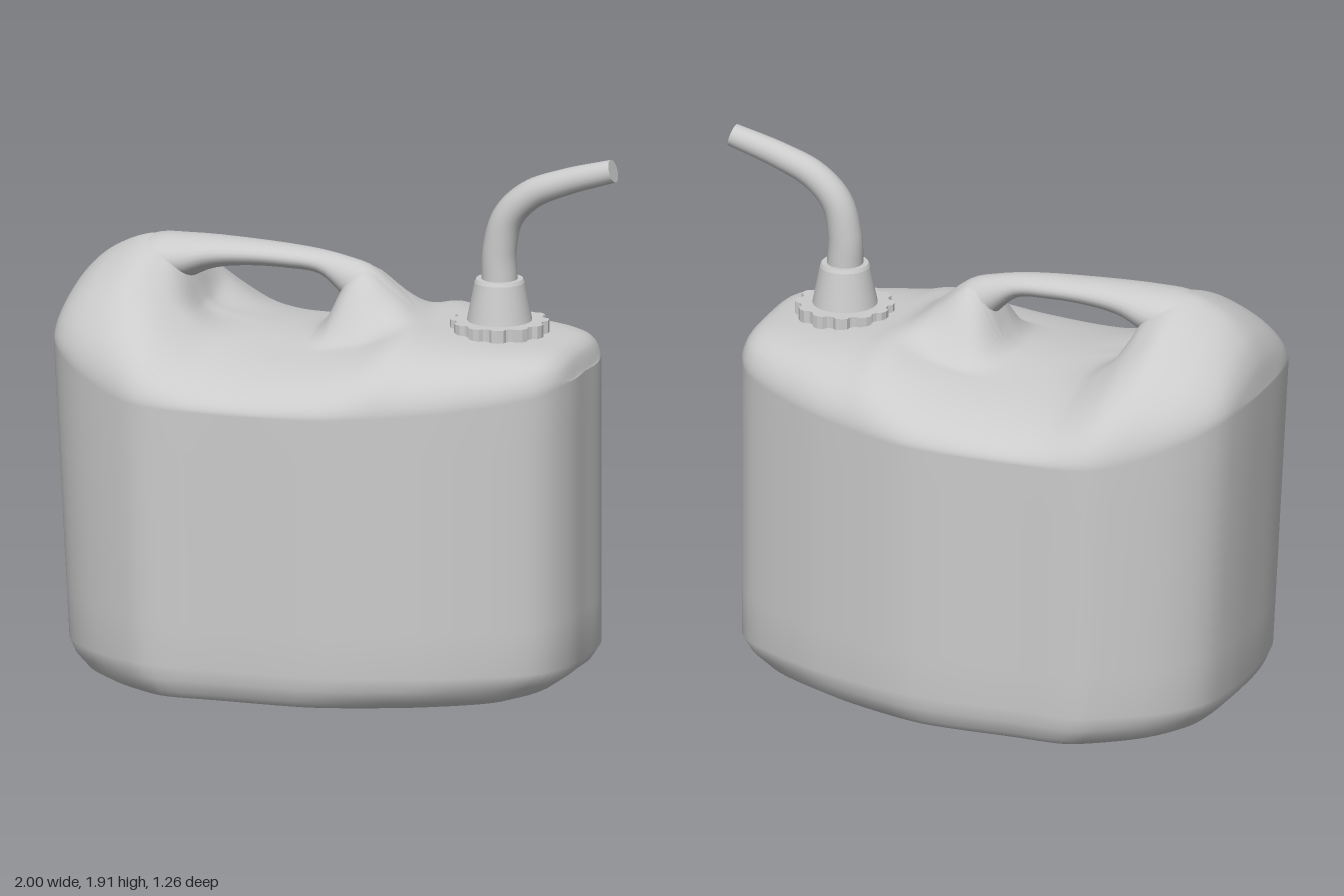
import * as THREE from 'three';
import { mergeVertices } from 'three/addons/utils/BufferGeometryUtils.js';

const material = new THREE.MeshStandardMaterial({ color: 0xcccccc });
const clamp01 = (v) => Math.min(1, Math.max(0, v));
const lerp = THREE.MathUtils.lerp;

// Smooth curve through [x, value] pairs
function table(pts) {
  const slope = pts.map((p, i) => {
    const a = pts[Math.max(0, i - 1)], b = pts[Math.min(pts.length - 1, i + 1)];
    return (b[1] - a[1]) / (b[0] - a[0]);
  });
  return (x) => {
    if (x <= pts[0][0]) return pts[0][1];
    const i = pts.findIndex((p) => p[0] >= x);
    if (i < 0) return pts[pts.length - 1][1];
    const [x0, y0] = pts[i - 1], [x1, y1] = pts[i];
    const h = x1 - x0, t = (x - x0) / h, t2 = t * t, t3 = t2 * t;
    return y0 * (2 * t3 - 3 * t2 + 1) + y1 * (3 * t2 - 2 * t3) +
      h * (slope[i - 1] * (t3 - 2 * t2 + t) + slope[i] * (t3 - t2));
  };
}

// Skin over a list of closed rings with equal point counts
function skin(rings) {
  const n = rings[0].length, index = [];
  for (let i = 0; i < rings.length - 1; i++) {
    for (let j = 0; j < n; j++) {
      const a = i * n + j, b = i * n + (j + 1) % n;
      index.push(a, a + n, b, b, a + n, b + n);
    }
  }
  const g = new THREE.BufferGeometry();
  g.setAttribute('position', new THREE.Float32BufferAttribute(rings.flat(2), 3));
  g.setIndex(index);
  const merged = mergeVertices(g, 1e-4);
  merged.computeVertexNormals();
  return merged;
}

// Tank: plan outline, walls and a sculpted top with the grip recess
function tankGeometry() {
  const half = [[0.885, 0], [0.88, 0.17], [0.82, 0.31], [0.57, 0.47], [0.35, 0.555], [0.13, 0.615], [0, 0.625],
    [-0.3, 0.625], [-0.56, 0.625], [-0.64, 0.595], [-0.85, 0.465], [-0.955, 0.34], [-0.99, 0.2], [-1, 0]];
  const mirrored = half.slice(1, -1).reverse().map(([x, z]) => [x, -z]);
  const N = 120;
  const outline = new THREE.CatmullRomCurve3(
    [...half, ...mirrored].map(([x, z]) => new THREE.Vector3(x, 0, z)), true, 'centripetal').getSpacedPoints(N).slice(0, N);

  const widths = outline.filter((p) => p.z > -0.003).sort((a, b) => a.x - b.x);
  const width = (x) => {
    const i = widths.findIndex((p) => p.x >= x);
    if (i <= 0) return i < 0 ? widths[widths.length - 1].z : widths[0].z;
    const a = widths[i - 1], b = widths[i];
    return lerp(a.z, b.z, (x - a.x) / Math.max(1e-6, b.x - a.x));
  };

  const rear = [[-1, 1.2], [-0.98, 1.3], [-0.93, 1.39], [-0.83, 1.47], [-0.7, 1.515]];
  const front = [[0.3, 1.305], [0.4, 1.283], [0.6, 1.265], [0.8, 1.25], [0.86, 1.215], [0.885, 1.15]];
  // Height along the middle, with the recess below the handle
  const crest = table([...rear, [-0.6, 1.48], [-0.55, 1.4], [-0.51, 1.3], [-0.42, 1.255], [-0.22, 1.23],
    [-0.08, 1.25], [-0.03, 1.31], [0, 1.38], [0.04, 1.44], [0.1, 1.45], [0.2, 1.375], ...front]);
  // Softer height away from the middle
  const flank = table([...rear, [-0.6, 1.45], [-0.5, 1.35], [-0.4, 1.27], [-0.25, 1.23], [0, 1.235], [0.15, 1.26], ...front]);
  const edge = table([[-1, 1.2], [-0.85, 1.13], [-0.6, 1.06], [0, 1.05], [0.5, 1.08], [0.8, 1.12], [0.885, 1.15]]);
  const power = table([[-1, 1.6], [-0.7, 1.35], [-0.25, 1.8], [0.2, 2.6], [0.6, 4]]);

  const top = (x, z) => {
    const u = clamp01(Math.abs(z) / Math.max(1e-4, width(x)));
    const blend = THREE.MathUtils.smoothstep(Math.abs(z), 0.03, 0.28);
    const c = lerp(crest(x), flank(x), blend), e = edge(x);
    return e + Math.max(0, c - e) * Math.pow(1 - Math.pow(u, power(x)), 0.55);
  };

  const cx = -0.2;
  const rings = [];
  const addRing = (sx, sz, height) => rings.push(outline.map((p) => {
    const x = cx + (p.x - cx) * sx, z = p.z * sz, y = height(x, z);
    // the rear wall leans slightly inward towards the floor
    return [x < 0 ? x * (1 - 0.06 * clamp01((1.2 - y) / 1.07)) : x, y, z];
  }));

  // floor and rounded lower edge
  for (const [sx, sz, y] of [[0, 0, 0], [0.5, 0.5, 0], [0.78, 0.86, 0.002], [0.84, 0.92, 0.01],
    [0.91, 0.965, 0.035], [0.97, 0.985, 0.08]]) addRing(sx, sz, () => y);
  // walls
  for (let k = 0; k <= 6; k++) addRing(1, 1, (x) => lerp(0.13, edge(x), k / 6));
  // shoulders and top
  for (let k = 1; k <= 56; k++) {
    const s = 1 - Math.pow(k / 56, 1.6);
    addRing(s, s, top);
  }
  return skin(rings);
}

// Handle: oval sections along x as [x, top, bottom, half width]
function handleGeometry() {
  const rows = [[-0.8, 1.465, 1.3, 0.13], [-0.7, 1.515, 1.33, 0.14], [-0.58, 1.524, 1.365, 0.125],
    [-0.48, 1.525, 1.412, 0.1], [-0.35, 1.522, 1.432, 0.082], [-0.2, 1.515, 1.434, 0.07],
    [-0.08, 1.504, 1.42, 0.063], [0, 1.49, 1.35, 0.068], [0.1, 1.46, 1.25, 0.085],
    [0.2, 1.38, 1.2, 0.1], [0.3, 1.295, 1.15, 0.1]];
  const [up, low, wide] = [1, 2, 3].map((k) => table(rows.map((r) => [r[0], r[k]])));
  const rings = [];
  for (let i = 0; i <= 40; i++) {
    const x = lerp(-0.8, 0.3, i / 40), mid = (up(x) + low(x)) / 2, h = (up(x) - low(x)) / 2;
    rings.push(Array.from({ length: 24 }, (_, j) => {
      const a = j / 24 * Math.PI * 2;
      return [x, mid + h * Math.cos(a), -wide(x) * Math.sin(a)];
    }));
  }
  return skin(rings);
}

// Screw collar with broad grip teeth
function collarGeometry() {
  const teeth = 12, pts = [];
  for (let i = 0; i < teeth; i++) {
    for (const [f, r] of [[0, 0.154], [0.18, 0.156], [0.32, 0.17], [0.55, 0.173], [0.78, 0.17], [0.9, 0.156]]) {
      const a = (i + f) / teeth * Math.PI * 2;
      pts.push(new THREE.Vector2(Math.cos(a) * r, Math.sin(a) * r));
    }
  }
  const g = new THREE.ExtrudeGeometry(new THREE.Shape(pts), { depth: 0.045, bevelEnabled: false });
  return g.rotateX(-Math.PI / 2);
}

// Bent spout, tapering to the tip
function spoutGeometry(curve, r0, r1) {
  const segs = 40, radial = 20;
  const g = new THREE.TubeGeometry(curve, segs, r0, radial, false);
  const pos = g.attributes.position, v = new THREE.Vector3();
  for (let i = 0; i <= segs; i++) {
    const c = curve.getPointAt(i / segs), k = lerp(1, r1 / r0, i / segs);
    for (let j = 0; j <= radial; j++) {
      const n = i * (radial + 1) + j;
      v.fromBufferAttribute(pos, n).sub(c).multiplyScalar(k).add(c);
      pos.setXYZ(n, v.x, v.y, v.z);
    }
  }
  return g;
}

export function createModel() {
  const model = new THREE.Group();
  model.name = 'fuelCan';
  const add = (name, geometry, x = 0, y = 0) => {
    const mesh = new THREE.Mesh(geometry, material);
    mesh.name = name;
    mesh.position.set(x, y, 0);
    model.add(mesh);
    return mesh;
  };

  add('tank', tankGeometry());
  add('handle', handleGeometry());

  const capX = 0.567;
  add('collar', collarGeometry(), capX, 1.265);
  add('neck', new THREE.CylinderGeometry(0.088, 0.115, 0.14, 28), capX, 1.375);
  add('neckRim', new THREE.CylinderGeometry(0.082, 0.088, 0.012, 28), capX, 1.451);

  const path = new THREE.CatmullRomCurve3([[capX, 1.44], [capX, 1.56], [0.598, 1.68], [0.68, 1.765],
    [0.81, 1.822], [0.985, 1.875]].map(([x, y]) => new THREE.Vector3(x, y, 0)));
  add('spout', spoutGeometry(path, 0.064, 0.041));
  const tip = add('spoutTip', new THREE.CircleGeometry(0.041, 20));
  tip.position.copy(path.getPointAt(1));
  tip.quaternion.setFromUnitVectors(new THREE.Vector3(0, 0, 1), path.getTangentAt(1));

  return model;
}
